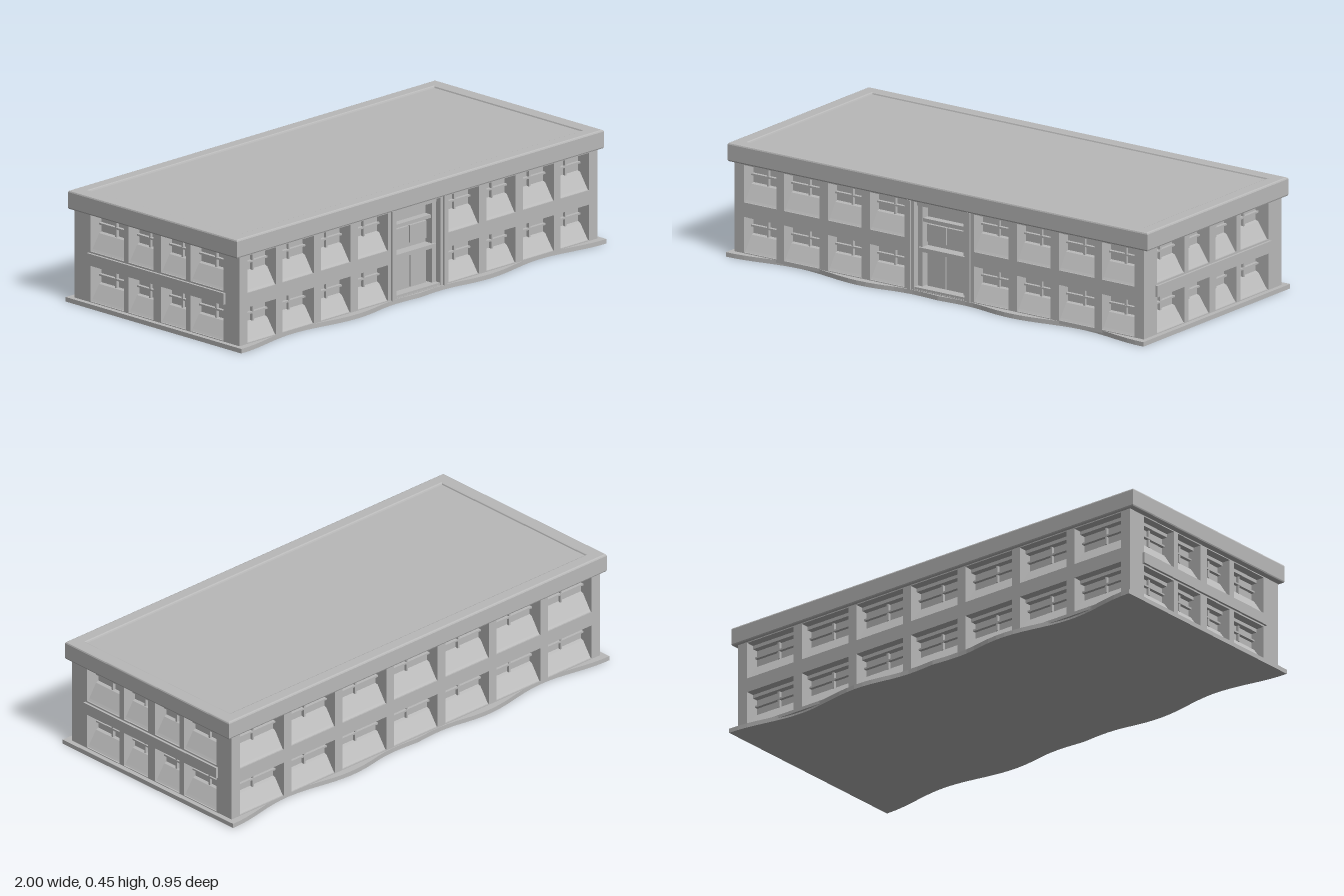
import * as THREE from 'three';

export function createModel() {
  const model = new THREE.Group();
  model.name = 'officeBuilding';
  const concrete = new THREE.MeshStandardMaterial({ color: 0xb9b9b9 });
  concrete.name = 'grey concrete';

  const DEPTH = 0.06; // how far the windows sit behind the wall face
  const ROWS = [[0.025, 0.168], [0.226, 0.376]]; // window heights on each floor

  function add(parent, name, geometry, x = 0, y = 0, z = 0) {
    const mesh = new THREE.Mesh(geometry, concrete);
    mesh.name = name;
    mesh.position.set(x, y, z);
    parent.add(mesh);
    return mesh;
  }
  const box = (parent, name, w, h, d, x, y, z) =>
    add(parent, name, new THREE.BoxGeometry(w, h, d), x, y, z);

  function rect(PathType, x0, y0, x1, y1) {
    const p = new PathType();
    p.moveTo(x0, y0);
    p.lineTo(x1, y0);
    p.lineTo(x1, y1);
    p.lineTo(x0, y1);
    p.closePath();
    return p;
  }

  // Sloping sill, glazing bars and head piece inside one opening
  function windowBay(parent, x0, x1, y0, y1) {
    const w = x1 - x0, h = y1 - y0, cx = (x0 + x1) / 2;
    const sill = new THREE.Shape();
    sill.moveTo(0, 0);
    sill.lineTo(DEPTH - 0.006, 0);
    sill.lineTo(DEPTH - 0.012, 0.008);
    sill.lineTo(0.012, h * 0.42);
    sill.lineTo(0, h * 0.45);
    sill.closePath();
    const sillGeo = new THREE.ExtrudeGeometry(sill, { depth: w, bevelEnabled: false });
    sillGeo.rotateY(-Math.PI / 2); // profile depth now runs along z
    add(parent, 'windowSill', sillGeo, x1, y0, -DEPTH);
    box(parent, 'glazingBarUpright', 0.008, h * 0.56, 0.012, cx, y1 - h * 0.28, -DEPTH + 0.006);
    box(parent, 'glazingBarCross', w, 0.007, 0.014, cx, y0 + h * 0.68, -DEPTH + 0.007);
    box(parent, 'windowHead', w, 0.014, 0.025, cx, y1 - 0.007, -DEPTH + 0.0125);
  }

  // A wall with its outer face on z = 0 of its own group
  function facade(name, halfWidth, bays, hasDoor) {
    const wall = new THREE.Group();
    wall.name = name;
    const shape = rect(THREE.Shape, -halfWidth, 0.012, halfWidth, 0.39);
    for (const [x0, x1] of bays) {
      for (const [y0, y1] of ROWS) {
        shape.holes.push(rect(THREE.Path, x0, y0, x1, y1));
        windowBay(wall, x0, x1, y0, y1);
      }
    }
    if (hasDoor) shape.holes.push(rect(THREE.Path, -0.12, 0.025, 0.12, 0.376));
    const geo = new THREE.ExtrudeGeometry(shape, { depth: DEPTH, bevelEnabled: false });
    add(wall, 'wallFrame', geo, 0, 0, -DEPTH);
    model.add(wall);
    return wall;
  }

  // Evenly spaced bays, mirrored about the middle
  function evenBays(count, half, gap) {
    const step = (2 * half + gap) / count;
    return Array.from({ length: count }, (_, i) => [-half + i * step, -half + (i + 1) * step - gap]);
  }

  // Inner block behind the walls
  box(model, 'innerBlock', 1.83, 0.39, 0.77, 0, 0.21, 0);

  // Front wall with four bays on either side of the entrance
  const half = [[0.165, 0.33], [0.37, 0.53], [0.57, 0.74], [0.775, 0.93]];
  const frontBays = half.concat(half.map(([a, b]) => [-b, -a]));
  const front = facade('frontWall', 0.975, frontBays, true);
  front.position.z = 0.445;

  // Entrance: double door, canopy and glazed panel above
  for (const s of [-1, 1]) {
    box(front, 'doorLeaf', 0.085, 0.14, 0.015, s * 0.045, 0.1, -0.052);
    box(front, 'doorJamb', 0.022, 0.345, 0.035, s * 0.109, 0.2, -0.042);
    box(front, 'upperGlazing', 0.09, 0.07, 0.012, s * 0.048, 0.245, -0.054);
    box(front, 'entranceRib', 0.014, 0.36, 0.01, s * 0.142, 0.2, 0.002);
  }
  box(front, 'entranceCanopy', 0.22, 0.016, 0.045, 0, 0.184, -0.037);
  box(front, 'entranceTransom', 0.22, 0.014, 0.03, 0, 0.3, -0.045);
  box(front, 'entranceHead', 0.24, 0.02, 0.04, 0, 0.366, -0.04);
  box(front, 'doorStep', 0.24, 0.014, 0.055, 0, 0.027, -0.03);

  // Back wall with seven wider bays
  const back = facade('backWall', 0.975, evenBays(7, 0.93, 0.04), false);
  back.position.z = -0.445;
  back.rotation.y = Math.PI;

  // End walls with four bays and a projecting floor band
  for (const s of [-1, 1]) {
    const bays = [[-0.36, -0.18], [-0.155, -0.02], [0.02, 0.155], [0.18, 0.36]];
    const end = facade(s > 0 ? 'leftWall' : 'rightWall', 0.385, bays, false);
    end.position.x = s * 0.975;
    end.rotation.y = s * Math.PI / 2;
    box(end, 'floorBand', 0.74, 0.045, 0.012, 0, 0.197, 0.004);
  }

  // Ground slab with gently wavy long edges
  const edge = (x) => 0.455 + 0.02 * Math.cos((Math.abs(x) - 0.36) * 10) * Math.min(1, Math.abs(x) * 4);
  const points = [];
  for (let i = 0; i <= 48; i++) points.push(new THREE.Vector2(-0.995 + i * 1.99 / 48, -edge(-0.995 + i * 1.99 / 48)));
  for (let i = 48; i >= 0; i--) points.push(new THREE.Vector2(-0.995 + i * 1.99 / 48, edge(-0.995 + i * 1.99 / 48)));
  const slabGeo = new THREE.ExtrudeGeometry(new THREE.Shape(points), { depth: 0.018, bevelEnabled: false });
  slabGeo.rotateX(-Math.PI / 2);
  add(model, 'groundSlab', slabGeo, 0, 0.004, 0);

  // Parapet with softened edges around a slightly sunken roof deck
  const b = 0.007;
  const ring = rect(THREE.Shape, -1 + b, -0.456 + b, 1 - b, 0.456 - b);
  ring.holes.push(rect(THREE.Path, -0.94 - b, -0.4 - b, 0.94 + b, 0.4 + b));
  const ringGeo = new THREE.ExtrudeGeometry(ring, {
    depth: 0.076 - 2 * b, bevelThickness: b, bevelSize: b, bevelSegments: 2,
  });
  ringGeo.rotateX(-Math.PI / 2);
  add(model, 'parapet', ringGeo, 0, 0.38 + b, 0);
  box(model, 'roofDeck', 1.9, 0.06, 0.82, 0, 0.419, 0);

  return model;
}
